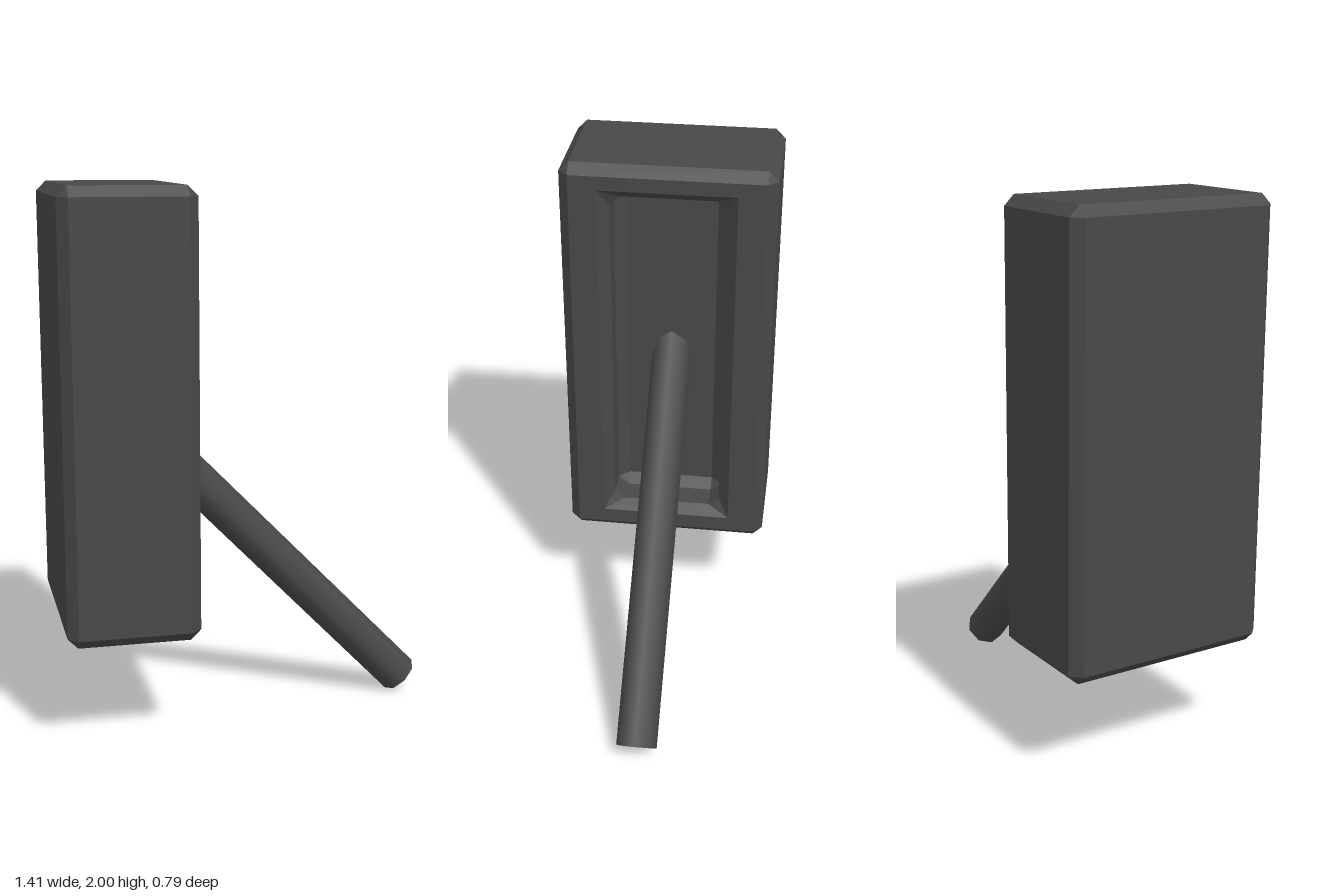
import * as THREE from 'three';

// Eight-point outline at one x: a rectangle whose corners may be cut (counterclockwise seen from +x)
function ring(x, halfZ, bottom, top, cutZ = 0, cutY = 0) {
  const z = halfZ, zc = halfZ - cutZ, b = bottom + cutY, t = top - cutY;
  return [[-z, b], [-z, t], [-zc, top], [zc, top], [z, t], [z, b], [zc, bottom], [-zc, bottom]]
    .map(([pz, py]) => new THREE.Vector3(x, py, pz));
}

// Flat-faced skin through a series of rings, closed at both ends
function skin(rings) {
  const positions = [];
  const tri = (a, b, c) => {
    const area = b.clone().sub(a).cross(c.clone().sub(a)).length();
    if (area > 1e-7) for (const p of [a, b, c]) positions.push(p.x, p.y, p.z);
  };
  for (let r = 0; r < rings.length - 1; r++) {
    const a = rings[r], b = rings[r + 1];
    for (let i = 0; i < 8; i++) {
      const j = (i + 1) % 8;
      tri(a[i], a[j], b[j]);
      tri(a[i], b[j], b[i]);
    }
  }
  const first = rings[0], last = rings[rings.length - 1];
  for (let i = 1; i < 7; i++) {
    tri(first[0], first[i + 1], first[i]);
    tri(last[0], last[i], last[i + 1]);
  }
  const geometry = new THREE.BufferGeometry();
  geometry.setAttribute('position', new THREE.Float32BufferAttribute(positions, 3));
  geometry.computeVertexNormals();
  return geometry;
}

export function createModel() {
  const group = new THREE.Group();
  const material = new THREE.MeshStandardMaterial({ color: 0x484848 });

  // Bevelled block with a bevelled recess in its +x face
  const c = 0.037;
  const block = new THREE.Mesh(skin([
    ring(-0.707, 0.395 - c, 0.403 + c, 2 - c),
    ring(-0.707 + c, 0.395, 0.403, 2, c, c),
    ring(-0.23 - c, 0.395, 0.403, 2, c, c),
    ring(-0.23, 0.395 - c, 0.403 + c, 2 - c),
    ring(-0.23, 0.255, 0.5, 1.91),
    ring(-0.27, 0.213, 0.535, 1.875, 0.042, 0.035),
    ring(-0.37, 0.213, 0.535, 1.875, 0.042, 0.035),
    ring(-0.41, 0.171, 0.57, 1.84),
  ]), material);
  block.name = 'block';
  group.add(block);

  // Eight-sided rod slanting down from the recess floor
  const foot = new THREE.Vector3(0.647, 0.058, 0);
  const head = new THREE.Vector3(-0.5, 1.236, 0);
  const axis = head.clone().sub(foot);
  const rod = new THREE.Mesh(new THREE.CylinderGeometry(0.077, 0.077, axis.length(), 8), material);
  rod.name = 'rod';
  rod.position.copy(foot).add(head).multiplyScalar(0.5);
  rod.quaternion.setFromUnitVectors(new THREE.Vector3(0, 1, 0), axis.normalize());
  group.add(rod);

  return group;
}
